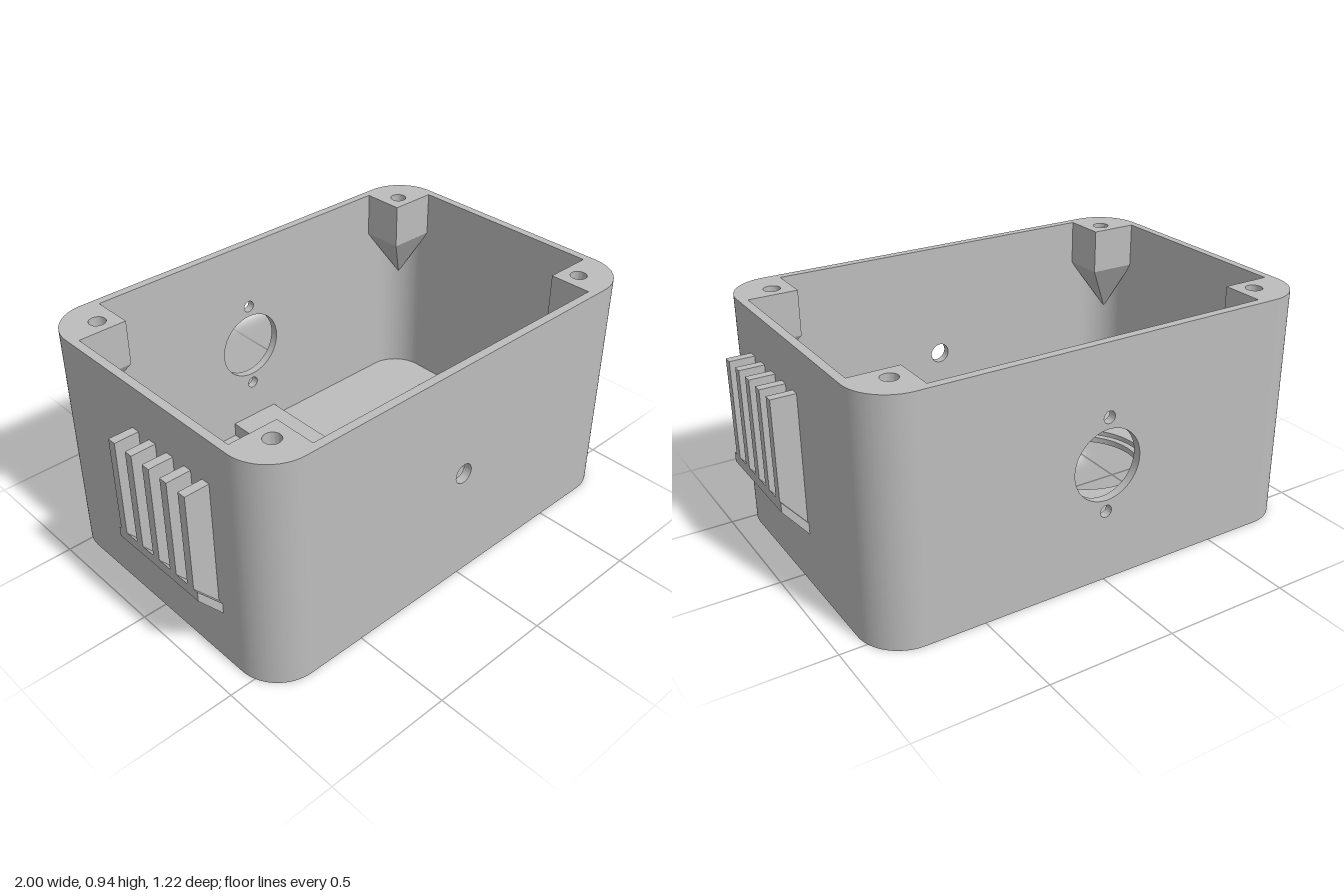
import * as THREE from 'three';
import { toCreasedNormals } from 'three/addons/utils/BufferGeometryUtils.js';
import { ConvexGeometry } from 'three/addons/geometries/ConvexGeometry.js';

const W = 0.905, D = 0.612, H = 0.935;   // outer half width, half depth, height
const T = 0.033, R = 0.17;               // wall thickness, corner radius
const FLOOR = 0.06;

export function createModel() {
  const model = new THREE.Group();
  model.name = 'enclosure';
  const grey = new THREE.MeshStandardMaterial({ color: 0xbcbcbc });
  grey.name = 'grey plastic';

  const add = (name, geo) => {
    const mesh = new THREE.Mesh(geo, grey);
    mesh.name = name;
    model.add(mesh);
    return mesh;
  };
  const poly = (pts) => new THREE.Shape(pts.map(([x, y]) => new THREE.Vector2(x, y)));
  const rect = (x0, y0, x1, y1) => poly([[x0, y0], [x1, y0], [x1, y1], [x0, y1]]);
  const circle = (x, y, r) => new THREE.Path().absarc(x, y, r, 0, Math.PI * 2, false);
  const extrude = (shape, depth) => toCreasedNormals(
    new THREE.ExtrudeGeometry(shape, { depth, bevelEnabled: false, curveSegments: 24 }), 0.6);
  // plan shape drawn in (x, z), standing between two heights
  const slab = (name, shape, y0, y1) =>
    add(name, extrude(shape, y1 - y0).rotateX(Math.PI / 2).translate(0, y1, 0));

  // end walls with rounded corners
  const cx = W - R, cz = D - R, q = Math.PI / 2;
  const endWall = new THREE.Shape();
  endWall.moveTo(cx, -D);
  endWall.absarc(cx, -cz, R, -q, 0, false);
  endWall.absarc(cx, cz, R, 0, q, false);
  endWall.lineTo(cx, D - T);
  endWall.absarc(cx, cz, R - T, q, 0, true);
  endWall.absarc(cx, -cz, R - T, 0, -q, true);
  endWall.closePath();
  slab('leftWall', endWall, 0, H);
  slab('rightWall', endWall, 0, H).rotation.y = Math.PI;

  // front wall with a small hole, back wall with a port and two screw holes
  const front = rect(-cx, 0, cx, H);
  front.holes.push(circle(0, 0.47, 0.04));
  add('frontWall', extrude(front, T).translate(0, 0, D - T));
  const back = rect(-cx, 0, cx, H);
  back.holes.push(circle(0, 0.47, 0.14), circle(0, 0.655, 0.024), circle(0, 0.285, 0.024));
  add('backWall', extrude(back, T).translate(0, 0, -D));

  // floor in three layers: underside recesses, holed plate, inner pockets
  const floorShape = (holes) => {
    const s = new THREE.Shape(), r = R - T;
    s.absarc(cx, cz, r, 0, q, false);
    s.absarc(-cx, cz, r, q, 2 * q, false);
    s.absarc(-cx, -cz, r, 2 * q, 3 * q, false);
    s.absarc(cx, -cz, r, 3 * q, 4 * q, false);
    s.closePath();
    s.holes.push(...holes);
    return s;
  };
  const pocket = (s) => {
    const pts = [], a = Math.asin(0.13 / 0.27);
    for (let i = 0; i <= 48; i++) {
      const t = a + (2 * Math.PI - 2 * a) * i / 48;
      pts.push(new THREE.Vector2(-s * (-0.415 + 0.27 * Math.cos(t)), 0.1 + 0.27 * Math.sin(t)));
    }
    pts.push(new THREE.Vector2(s * 0.105, -0.03), new THREE.Vector2(s * 0.105, 0.23));
    return new THREE.Path(pts);
  };
  const sides = [1, -1];
  slab('floorUnderside', floorShape([
    ...sides.map((s) => circle(s * 0.415, 0.1, 0.344)),
    rect(-0.62, -0.47, 0.62, -0.25),
  ]), 0, 0.015);
  slab('floorPlate', floorShape(sides.map((s) => circle(s * 0.415, 0.1, 0.243))), 0.015, 0.04);
  slab('floorPockets', floorShape(sides.map(pocket)), 0.04, FLOOR);

  // raised slats in the underside grille
  for (let i = 0; i < 4; i++) {
    const z = -0.435 + i * 0.05;
    slab('grilleSlat', rect(-0.585, z - 0.013, 0.585, z + 0.013), 0.001, 0.016);
  }

  // low block along the middle of the floor
  slab('centreBlock', rect(-0.11, -D + T, 0.11, 0.07), FLOOR - 0.02, 0.12);

  for (const sx of sides) {
    // hollow screw bosses
    for (const [x, z] of [[0.655, -0.16], [0.18, 0.357]]) {
      const boss = new THREE.Shape().absarc(sx * x, z, 0.058, 0, Math.PI * 2, false);
      boss.holes.push(circle(sx * x, z, 0.031));
      slab('screwBoss', boss, FLOOR, 0.15);
    }

    // corner posts with a pointed underside
    for (const sz of sides) {
      const r = R - T + 0.006;
      const pts = [[0.68, 0.41], [cx + r, 0.41]];
      for (let i = 0; i <= 8; i++) {
        const t = q * i / 8;
        pts.push([cx + r * Math.cos(t), cz + r * Math.sin(t)]);
      }
      pts.push([0.68, cz + r]);
      const outline = pts.map(([x, z]) => [sx * x, sz * z]);
      const post = poly(outline);
      post.holes.push(circle(sx * 0.755, sz * 0.477, 0.032));
      slab('cornerPost', post, 0.755, H);
      const corners = outline.map(([x, z]) => new THREE.Vector3(x, 0.755, z));
      corners.push(new THREE.Vector3(sx * 0.835, 0.53, sz * 0.54));
      add('cornerPostTip', new ConvexGeometry(corners));
    }

    // side rack: sloped ledge with five upright fins
    const ledge = poly([[0.9, 0.21], [1, 0.335], [1, 0.375], [0.9, 0.255]].map(([x, y]) => [sx * x, y]));
    add('rackLedge', extrude(ledge, 0.445).translate(0, 0, -0.085));
    const fin = poly([[0.9, 0.25], [1, 0.37], [1, 0.76], [0.9, 0.76]].map(([x, y]) => [sx * x, y]));
    for (let i = 0; i < 5; i++) {
      add('rackFin', extrude(fin, 0.035).translate(0, 0, -0.075 + i * 0.095));
    }
  }
  return model;
}
